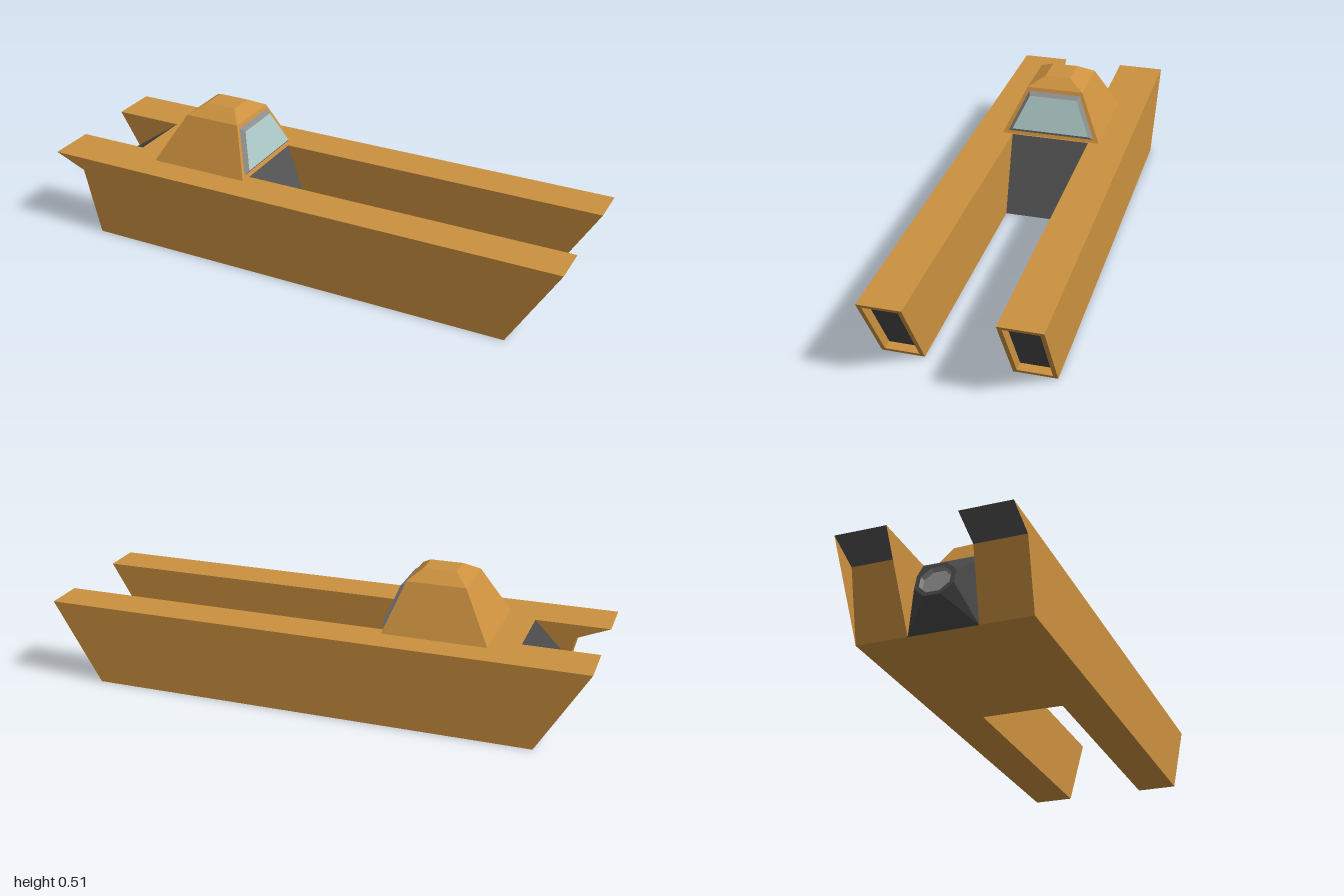
import * as THREE from 'three';

const paint = (color) => new THREE.MeshStandardMaterial({ color, flatShading: true });
const P = (x, y, z) => [x, y, z];

// Turns convex (or fan-friendly) polygons into one flat-shaded mesh.
function facets(name, color, polys) {
  const pos = [];
  for (const p of polys) {
    for (let i = 1; i < p.length - 1; i++) pos.push(...p[0], ...p[i], ...p[i + 1]);
  }
  const geo = new THREE.BufferGeometry();
  geo.setAttribute('position', new THREE.Float32BufferAttribute(pos, 3));
  geo.computeVertexNormals();
  const mesh = new THREE.Mesh(geo, paint(color));
  mesh.name = name;
  return mesh;
}

// Quads joining two rings of equal length.
const band = (a, b) => a.map((p, i) => {
  const j = (i + 1) % a.length;
  return [p, a[j], b[j], b[i]];
});

// Strip swept in z along a profile segment.
const strip = ([xa, ya], [xb, yb], z0, z1) =>
  [P(xa, ya, z0), P(xa, ya, z1), P(xb, yb, z1), P(xb, yb, z0)];

// Adds the z-mirrored copy of each polygon.
const mirrored = (polys) => [
  ...polys,
  ...polys.map((p) => p.map(([x, y, z]) => P(x, y, -z)).reverse()),
];

const BROWN = 0xcc913f, DARK = 0x484848, GREY = 0x565656, LIGHT = 0x8c8c8c;

export function createModel() {
  const model = new THREE.Group();
  model.name = 'twinProngVessel';

  // Side profile corners
  const tip = [-1, 0.3], notch = [-0.88, 0.25], heel = [-0.82, 0];
  const toe = [0.82, 0], bow = [1, 0.3];
  const wallTop = [-0.24, 0.3], wallFoot = [-0.14, 0], engineTop = [-0.73, 0.3];
  const at = (z, pts) => pts.map(([x, y]) => P(x, y, z));

  // Recessed end of each prong
  const endRing = (inset, depth) => {
    const y0 = inset, y1 = 0.3 - inset, z0 = 0.15 + inset, z1 = 0.3 - inset;
    return [[y0, z1], [y0, z0], [y1, z0], [y1, z1]]
      .map(([y, z]) => P(0.82 + 0.6 * y - depth, y, z));
  };
  const endOuter = endRing(0, 0), endInner = endRing(0.015, 0), endBack = endRing(0.015, 0.04);

  // Hull with two long prongs and a stern notch
  model.add(facets('hull', BROWN, mirrored([
    at(0.3, [notch, heel, toe, bow, tip]),
    at(0.15, [wallFoot, wallTop, bow, toe]),
    at(0.12, [notch, tip, engineTop, heel]),
    strip(tip, engineTop, 0.12, 0.3),
    strip(engineTop, wallTop, 0, 0.3),
    strip(wallTop, bow, 0.15, 0.3),
    strip(toe, wallFoot, 0.15, 0.3),
    strip(wallFoot, heel, 0, 0.3),
    strip(heel, notch, 0.12, 0.3),
    ...band(endOuter, endInner),
    ...band(endInner, endBack),
  ])));
  model.add(facets('prongEndPanels', DARK, mirrored([endBack])));
  model.add(facets('sternTipUndersides', GREY, mirrored([strip(notch, tip, 0.12, 0.3)])));
  model.add(facets('bulkhead', GREY, mirrored([strip(wallTop, wallFoot, 0, 0.15)])));

  // Cabin in two tapering tiers
  const cabinRing = (y, x0, x1, w) => [P(x0, y, w), P(x1, y, w), P(x1, y, -w), P(x0, y, -w)];
  const base = cabinRing(0.3, -0.625, -0.245, 0.19);
  const shoulder = cabinRing(0.475, -0.525, -0.31, 0.108);
  const roof = cabinRing(0.51, -0.475, -0.355, 0.048);
  model.add(facets('cabin', BROWN, [...band(base, shoulder), ...band(shoulder, roof), roof]));

  // Raised window on the sloping cabin face
  const windowRing = (y0, w0, y1, w1, out) => [[y0, w0], [y0, -w0], [y1, -w1], [y1, w1]]
    .map(([y, z]) => P(-0.245 - 0.371 * (y - 0.3) + out, y, z));
  const frame = windowRing(0.312, 0.168, 0.462, 0.1, 0.001);
  const pane = windowRing(0.325, 0.15, 0.45, 0.092, 0.016);
  model.add(facets('windowFrame', LIGHT, band(frame, pane)));
  model.add(facets('windowGlass', 0xacc9c8, [pane]));

  // Engine: square root tapering to a tilted octagonal nozzle
  const engineRing = (cx, cy, half, height, square) => Array.from({ length: 8 }, (_, k) => {
    const t = (k + 0.5) * Math.PI / 4;
    const c = square ? Math.sign(Math.cos(t)) : Math.cos(t);
    const s = square ? Math.sign(Math.sin(t)) : Math.sin(t);
    return P(cx + 0.287 * s * height, cy + 0.958 * s * height, c * half);
  });
  const root = engineRing(-0.775, 0.15, 0.12, 0.1566, true);
  const rim = engineRing(-0.89, 0.145, 0.072, 0.072, false);
  const lip = engineRing(-0.89, 0.145, 0.056, 0.056, false);
  const throat = engineRing(-0.876, 0.141, 0.05, 0.05, false);
  model.add(facets('engine', DARK, [...band(root, rim), ...band(rim, lip)]));
  model.add(facets('nozzle', LIGHT, [...band(lip, throat), throat]));

  return model;
}
